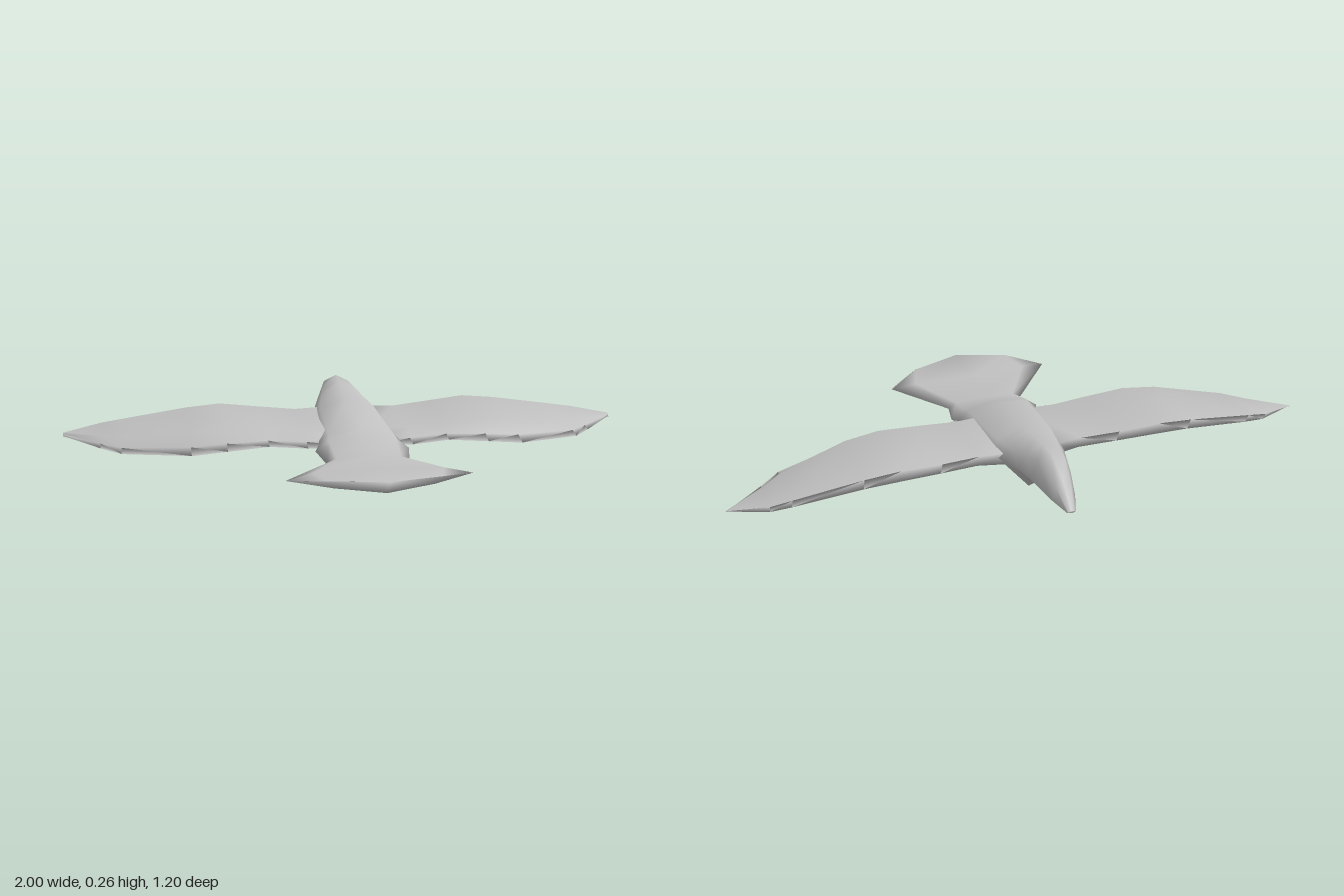
import * as THREE from 'three';

const plumage = new THREE.MeshStandardMaterial({ color: 0xc0c0c0 });
plumage.name = 'plumage grey';

// Skins a row of closed cross-sections with smooth normals and closes both ends.
function loft(rings, flip) {
  const n = rings[0].length, index = [];
  const tri = (a, b, c) => (flip ? index.push(a, c, b) : index.push(a, b, c));
  for (let i = 0; i < rings.length - 1; i++) {
    for (let j = 0; j < n; j++) {
      const a = i * n + j, b = i * n + (j + 1) % n;
      tri(a, b, a + n);
      tri(b, b + n, a + n);
    }
  }
  const last = (rings.length - 1) * n;
  for (let j = 1; j < n - 1; j++) {
    tri(0, j + 1, j);
    tri(last, last + j, last + j + 1);
  }
  const geo = new THREE.BufferGeometry();
  geo.setAttribute('position', new THREE.Float32BufferAttribute(rings.flat(2), 3));
  geo.setIndex(index);
  geo.computeVertexNormals();
  return geo;
}

// Completes a half section (top centre to bottom centre) on the other side.
const mirrorRing = (half) =>
  [...half, ...half.slice(1, -1).reverse().map(([x, y, z]) => [-x, y, z])];

function add(group, name, geometry) {
  const mesh = new THREE.Mesh(geometry, plumage);
  mesh.name = name;
  group.add(mesh);
}

export function createModel() {
  const bird = new THREE.Group();
  bird.name = 'flyingBird';

  // Head and body: z, top y, shoulder x, y, side x, y, keel y
  const body = [
    [-0.6, 0.16, 0.01, 0.158, 0.014, 0.155, 0.152],
    [-0.53, 0.22, 0.025, 0.205, 0.04, 0.165, 0.143],
    [-0.42, 0.265, 0.045, 0.243, 0.068, 0.18, 0.129],
    [-0.35, 0.254, 0.06, 0.228, 0.084, 0.177, 0.12],
    [-0.27, 0.241, 0.078, 0.208, 0.105, 0.165, 0.057],
    [-0.22, 0.233, 0.09, 0.197, 0.115, 0.155, 0.015],
    [-0.17, 0.225, 0.098, 0.19, 0.12, 0.148, 0.013],
    [0.1, 0.165, 0.11, 0.153, 0.145, 0.115, 0.003],
    [0.14, 0.15, 0.115, 0.14, 0.16, 0.105, 0.013],
    [0.25, 0.107, 0.108, 0.104, 0.138, 0.085, 0.045],
  ].map(([z, top, ux, uy, sx, sy, keel]) =>
    [[0, top, z], [ux, uy, z], [sx, sy, z], [sx * 0.5, (sy + keel) / 2, z], [0, keel, z]]);

  // Fanned tail with bevelled sides and a pointed rear edge
  const tail = [
    [[0, 0.108, 0.42], [0.21, 0.106, 0.43], [0.297, 0.09, 0.448], [0.14, 0.075, 0.42], [0, 0.056, 0.42]],
    [[0, 0.11, 0.597], [0.18, 0.106, 0.54], [0.3, 0.09, 0.452], [0.16, 0.078, 0.52], [0, 0.065, 0.557]],
  ];
  add(bird, 'bodyAndTail', loft([...body, ...tail].map(mirrorRing), true));

  // Wing: x, leading z, leading top y, leading bottom y, ridge z, y, trailing z, y
  const stations = [
    [0.05, -0.25, 0.18, 0.12, 0.04, 0.158, 0.13, 0.115],
    [0.18, -0.235, 0.177, 0.13, 0.04, 0.155, 0.115, 0.11],
    [0.31, -0.255, 0.187, 0.14, 0.04, 0.165, 0.1, 0.118],
    [0.45, -0.27, 0.2, 0.148, 0.04, 0.173, 0.105, 0.108],
    [0.57, -0.267, 0.19, 0.143, 0.03, 0.162, 0.112, 0.1],
    [0.8, -0.258, 0.158, 0.12, -0.05, 0.135, 0.02, 0.095],
    [0.87, -0.255, 0.148, 0.116, -0.11, 0.132, -0.055, 0.1],
    [1, -0.203, 0.128, 0.114, -0.198, 0.126, -0.19, 0.118],
  ];
  for (const [name, side] of [['leftWing', 1], ['rightWing', -1]]) {
    const rings = stations.map(([x, lz, top, under, rz, ry, tz, ty]) => [
      [side * x, top, lz],
      [side * x, ry, rz],
      // foot of the step down to the thin rear feathers
      [side * x, ty + (ry - ty) * 0.3, rz + (tz - rz) * 0.4],
      [side * x, ty, tz],
      [side * x, under, lz + 0.02],
    ]);
    add(bird, name, loft(rings, side < 0));
  }
  return bird;
}
